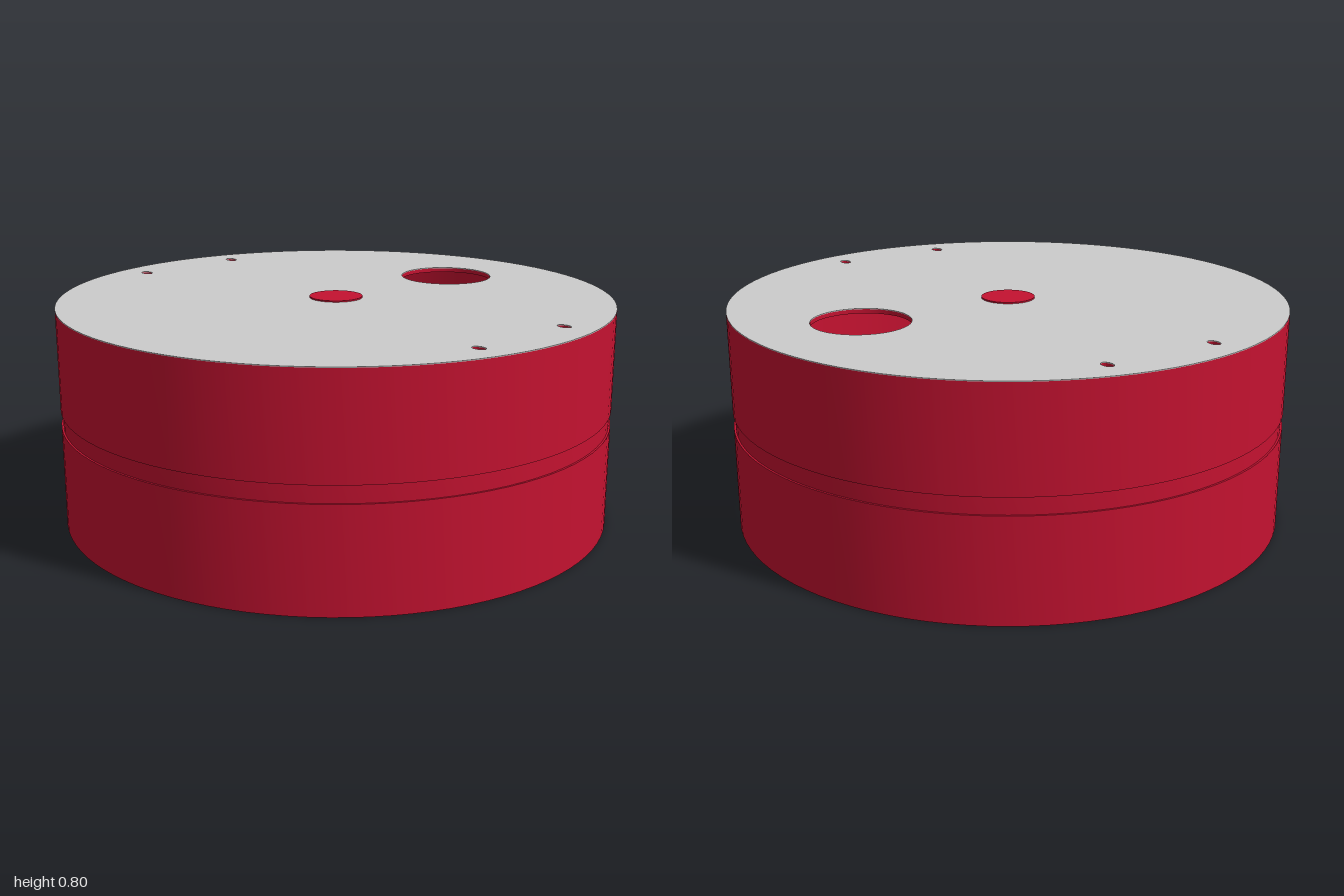
import * as THREE from 'three';
import { toCreasedNormals } from 'three/addons/utils/BufferGeometryUtils.js';

const SEGMENTS = 96;
const TOP = 0.795;       // upper face of the lid
const SKIN = 0.003;      // thin grey sheet on the lid
const CEILING = 0.777;   // underside of the lid

// Disc outline pierced by the round opening and four small oval slots
function lidShape(radius) {
  const shape = new THREE.Shape().absarc(0, 0, radius, 0, Math.PI * 2, false);
  shape.holes.push(new THREE.Path().absarc(0.597, 0, 0.172, 0, Math.PI * 2, true));
  for (const x of [-0.215, 0.215]) {
    for (const z of [-0.86, 0.86]) {
      shape.holes.push(new THREE.Path().absellipse(x, z, 0.018, 0.026, 0, Math.PI * 2, true));
    }
  }
  return shape;
}

// Horizontal pierced plate between two heights
function plate(radius, bottom, top) {
  const geometry = new THREE.ExtrudeGeometry(lidShape(radius), {
    depth: top - bottom, bevelEnabled: false, curveSegments: SEGMENTS / 2,
  });
  geometry.rotateX(-Math.PI / 2);
  geometry.translate(0, bottom, 0);
  return toCreasedNormals(geometry, 0.6);
}

export function createModel() {
  const group = new THREE.Group();
  const red = new THREE.MeshStandardMaterial({ color: 0xc41230 });
  const grey = new THREE.MeshStandardMaterial({ color: 0xcccccc });

  const add = (name, geometry, material) => {
    const mesh = new THREE.Mesh(geometry, material);
    mesh.name = name;
    group.add(mesh);
    return mesh;
  };

  // Open-bottomed wall with a shallow groove around the middle
  const profile = [
    [0.985, TOP - SKIN], [0.985, 0], [1, 0], [1, 0.37], [0.993, 0.37],
    [0.993, 0.43], [1, 0.43], [1, TOP - SKIN],
  ].map(([r, y]) => new THREE.Vector2(r, y));
  add('wall', toCreasedNormals(new THREE.LatheGeometry(profile, SEGMENTS), 0.6), red);

  // Lid: red plate below, thin grey sheet above
  add('lidPlate', plate(0.987, CEILING, TOP - SKIN), red);
  add('lidSheet', plate(1, TOP - SKIN, TOP), grey);

  // Raised centre button
  const button = add('centreButton', new THREE.CylinderGeometry(0.096, 0.096, 0.008, 48), red);
  button.position.y = 0.796;

  return group;
}
